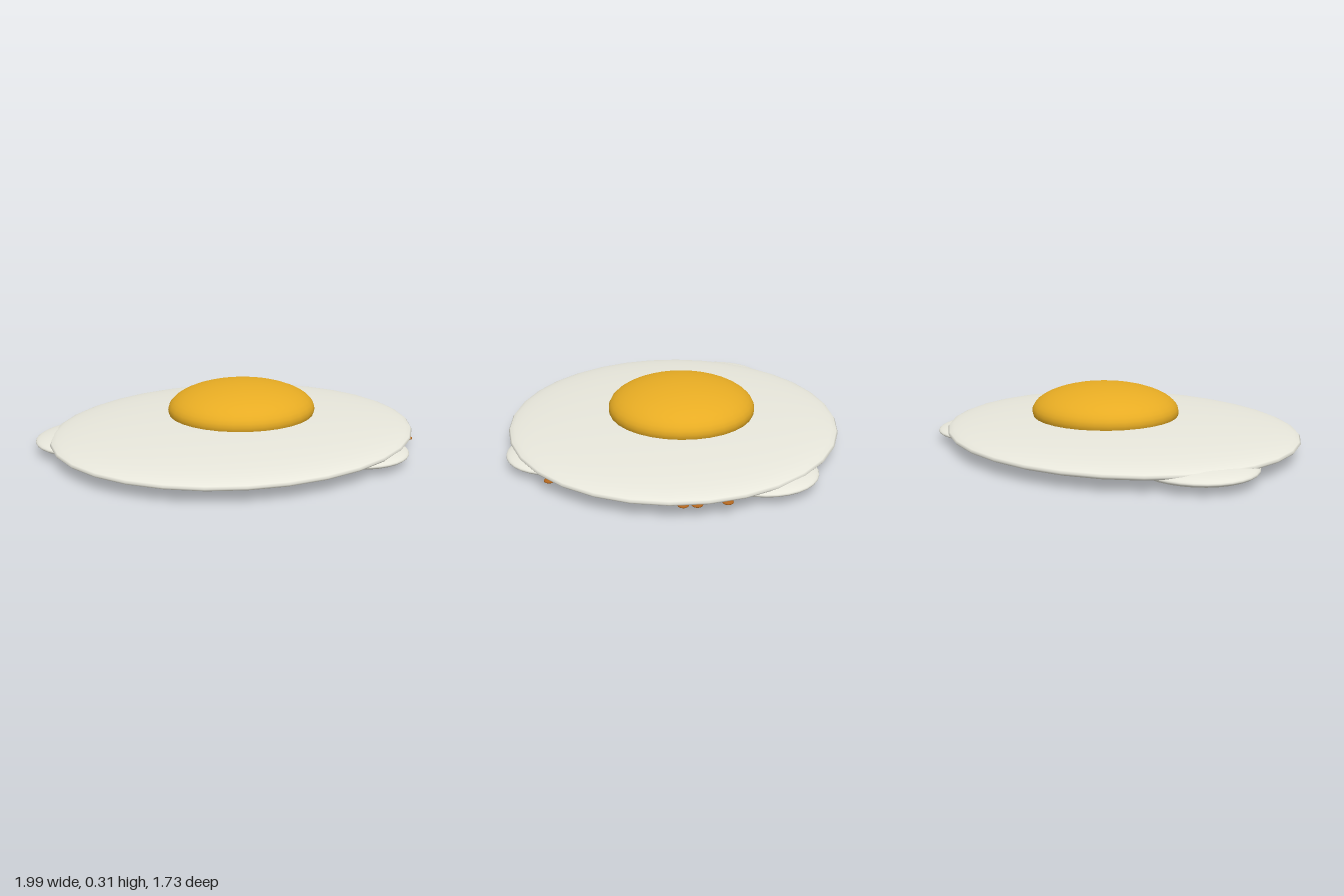
import * as THREE from 'three';

const white = new THREE.MeshStandardMaterial({ color: 0xf5f4e8 });
white.name = 'eggWhite';
const yellow = new THREE.MeshStandardMaterial({ color: 0xffbe28 });
yellow.name = 'yolkYellow';
const brown = new THREE.MeshStandardMaterial({ color: 0xb0651e });
brown.name = 'crispBrown';

// Smooth ellipsoid with the given centre and radii
function ellipsoid(name, material, centre, radii, segments = 32, rings = 24) {
  const geometry = new THREE.SphereGeometry(1, segments, rings);
  geometry.scale(...radii);
  const mesh = new THREE.Mesh(geometry, material);
  mesh.name = name;
  mesh.position.set(...centre);
  return mesh;
}

export function createModel() {
  const egg = new THREE.Group();
  egg.name = 'friedEgg';

  // Main disc of egg white and the yolk resting on it
  egg.add(ellipsoid('eggWhite', white, [0.005, 0.08, 0], [0.985, 0.078, 0.866]));
  egg.add(ellipsoid('yolk', yellow, [0.07, 0.172, -0.043], [0.402, 0.143, 0.383]));

  // Irregular lobes spreading from under the rim
  const lobes = [
    [[-0.7, 0.06, -0.26], [0.3, 0.045, 0.285]],
    [[0.6, 0.055, -0.42], [0.26, 0.04, 0.27]],
    [[0.4, 0.053, 0.57], [0.255, 0.04, 0.245]],
  ];
  lobes.forEach(([centre, radii], i) => egg.add(ellipsoid('lobe' + (i + 1), white, centre, radii)));

  // Crisp browned specks along the underside of the rim
  const specks = [[0.957, -0.058], [0.952, -0.118], [0.925, -0.25], [0.735, 0.55]];
  specks.forEach(([x, z], i) =>
    egg.add(ellipsoid('crispSpeck' + (i + 1), brown, [x, 0.062, z], [0.026, 0.009, 0.026], 12, 8)));

  return egg;
}
